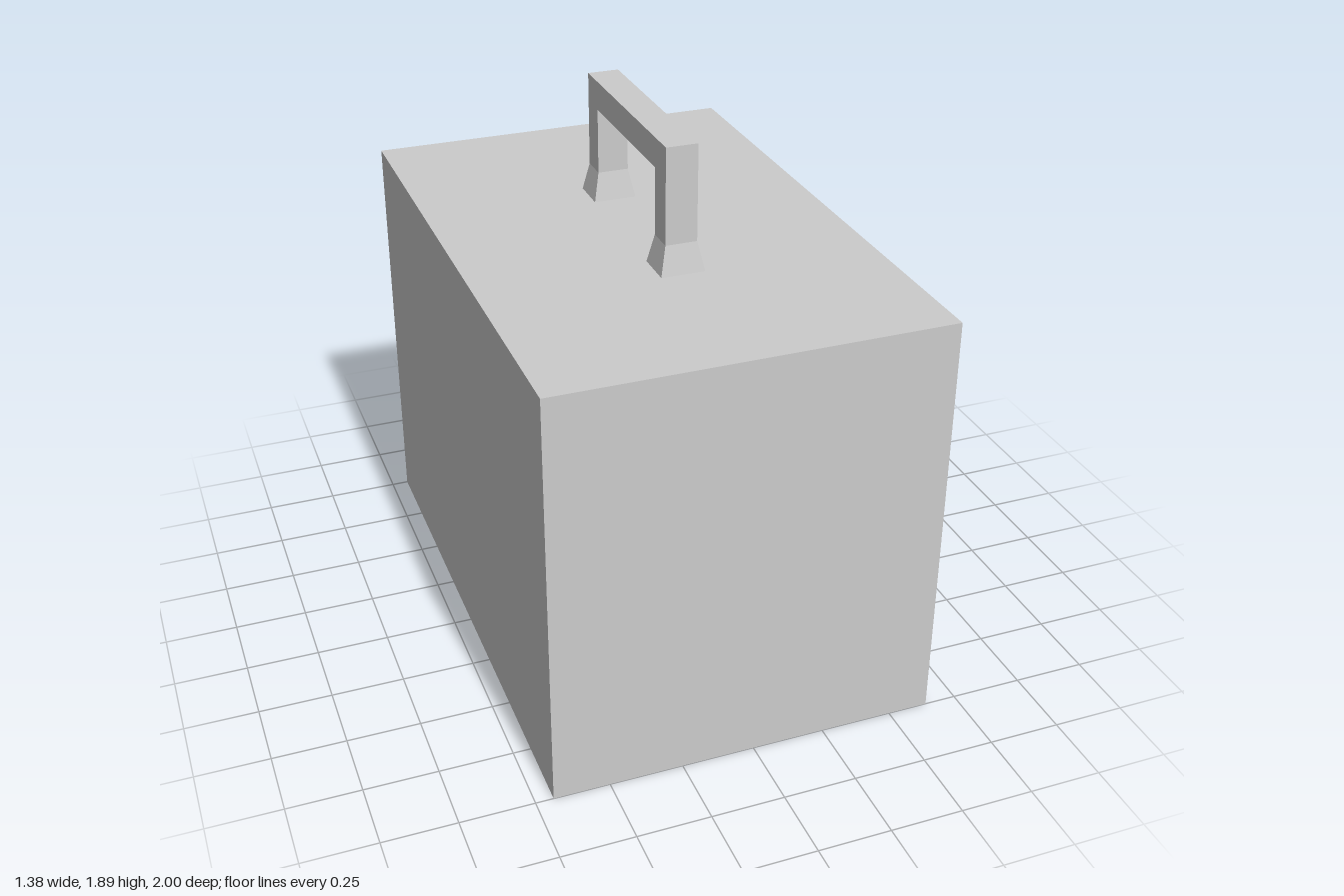
import * as THREE from 'three';

export function createModel() {
  const model = new THREE.Group();
  model.name = 'carryCase';
  const grey = new THREE.MeshStandardMaterial({ color: 0xcccccc });
  grey.name = 'lightGrey';
  const midX = -0.025; // the case sits off centre to leave room for the latch

  const add = (name, geometry, x, y, z, parent = model) => {
    const mesh = new THREE.Mesh(geometry, grey);
    mesh.name = name;
    mesh.position.set(x, y, z);
    parent.add(mesh);
    return mesh;
  };

  // Body and latch
  add('body', new THREE.BoxGeometry(1.33, 1.46, 2), midX, 0.73, 0);
  add('latch', new THREE.BoxGeometry(0.05, 0.17, 0.12), 0.665, 0.995, 0);

  // Handle: square arch drawn in z and y, extruded across x
  const handle = new THREE.Group();
  handle.name = 'handle';
  model.add(handle);
  const arch = new THREE.Shape([
    [-0.373, 1.56], [-0.278, 1.56], [-0.278, 1.79], [0.278, 1.79],
    [0.278, 1.56], [0.373, 1.56], [0.373, 1.89], [-0.373, 1.89],
  ].map(([z, y]) => new THREE.Vector2(z, y)));
  const grip = new THREE.ExtrudeGeometry(arch, { depth: 0.108, bevelEnabled: false });
  grip.translate(0, 0, -0.054).rotateY(-Math.PI / 2);
  add('grip', grip, midX, 0, 0, handle);

  // Flared feet: boxes narrowed at the top to meet the arch legs
  for (const side of [1, -1]) {
    const foot = new THREE.BoxGeometry(0.15, 0.1, 0.136);
    const p = foot.attributes.position;
    for (let i = 0; i < p.count; i++) {
      if (p.getY(i) > 0) {
        p.setX(i, Math.sign(p.getX(i)) * 0.054);
        p.setZ(i, Math.sign(p.getZ(i)) * 0.0475);
      }
    }
    const flat = foot.toNonIndexed();
    flat.computeVertexNormals();
    add(side > 0 ? 'frontFoot' : 'backFoot', flat, midX, 1.51, side * 0.3255, handle);
  }

  return model;
}
